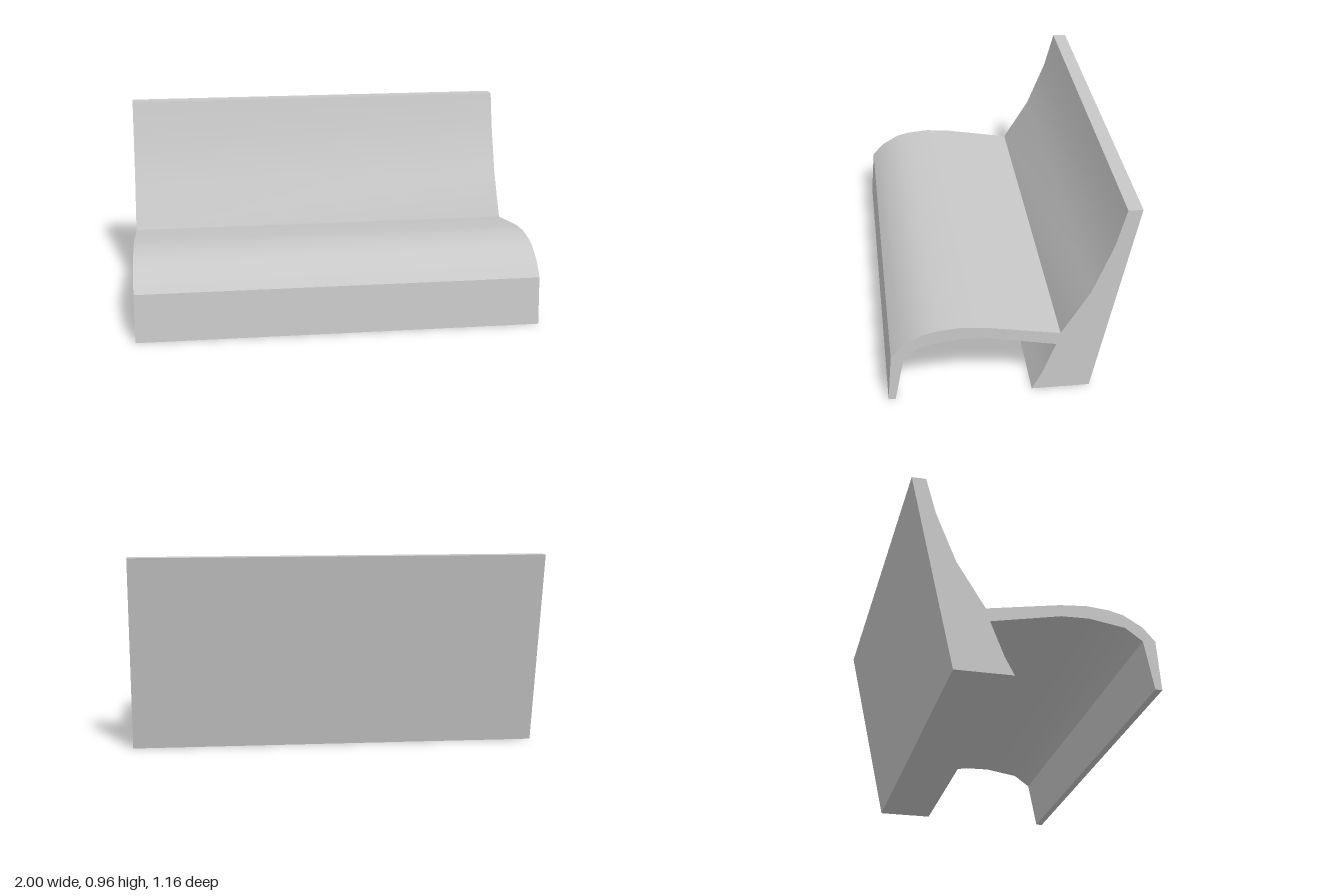
import * as THREE from 'three';
import { toCreasedNormals } from 'three/addons/utils/BufferGeometryUtils.js';

const WIDTH = 2;

// Side profiles as [z, y]; both parts meet along the same short joint.
const JOINT_TOP = [-0.23, 0.315];
const JOINT_BOTTOM = [-0.211, 0.253];

const SEAT = [
  JOINT_TOP, [0.115, 0.374], [0.24, 0.384], [0.345, 0.375], [0.414, 0.358],
  [0.505, 0.305], [0.562, 0.24], [0.581, 0],
  [0.548, 0], [0.502, 0.235], [0.42, 0.294], [0.25, 0.321], [0.12, 0.318], JOINT_BOTTOM,
];

const BACKREST = [
  [-0.376, 0], [-0.581, 0.957], [-0.513, 0.957], [-0.463, 0.775], [-0.366, 0.535],
  JOINT_TOP, JOINT_BOTTOM, [-0.146, 0.087], [-0.1, 0],
];

// Sweeps a side profile across the full width, smooth along curves and sharp at corners.
function sweep(name, profile, material) {
  const shape = new THREE.Shape(profile.map(([z, y]) => new THREE.Vector2(-z, y)));
  const geometry = new THREE.ExtrudeGeometry(shape, { depth: WIDTH, bevelEnabled: false });
  geometry.translate(0, 0, -WIDTH / 2);
  geometry.rotateY(Math.PI / 2);
  const mesh = new THREE.Mesh(toCreasedNormals(geometry, THREE.MathUtils.degToRad(30)), material);
  mesh.name = name;
  return mesh;
}

export function createModel() {
  const grey = new THREE.MeshStandardMaterial({ color: 0xc8c8c8 });
  grey.name = 'light grey';

  const bench = new THREE.Group();
  bench.name = 'bench';
  bench.add(
    sweep('seat', SEAT, grey), // curved shell with a front lip down to the floor
    sweep('backrest', BACKREST, grey), // tapered back with its solid foot
  );
  return bench;
}
